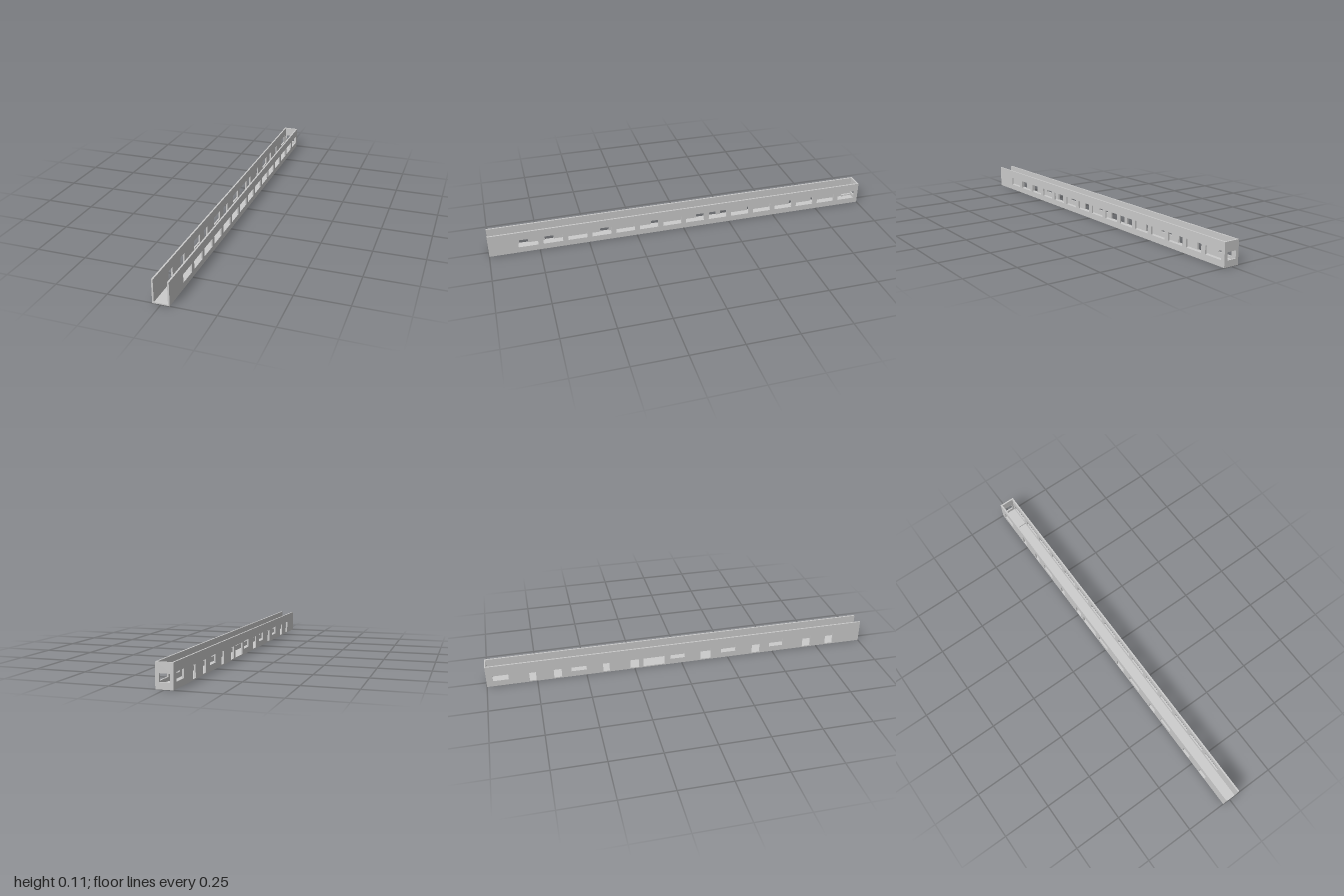
import * as THREE from 'three';

const W = 0.04, H = 0.114, T = 0.008, FLOOR = 0.006;
const SILL = 0.03, HEAD = 0.071, DOOR_HEAD = 0.067;

const material = new THREE.MeshStandardMaterial({ color: 0xcccccc, flatShading: true });

function mesh(name, geometry) {
  const m = new THREE.Mesh(geometry, material);
  m.name = name;
  return m;
}

function box(name, x0, x1, y0, y1, z0, z1) {
  const g = new THREE.BoxGeometry(x1 - x0, y1 - y0, z1 - z0);
  g.translate((x0 + x1) / 2, (y0 + y1) / 2, (z0 + z1) / 2);
  return mesh(name, g);
}

function rect(path, u0, u1, v0, v1) {
  path.moveTo(u0, v0);
  path.lineTo(u1, v0);
  path.lineTo(u1, v1);
  path.lineTo(u0, v1);
  path.closePath();
  return path;
}

// Upright panel pierced by rectangular openings [u0, u1, v0, v1]
function panel(u0, u1, v0, v1, openings) {
  const shape = rect(new THREE.Shape(), u0, u1, v0, v1);
  for (const o of openings) shape.holes.push(rect(new THREE.Path(), ...o));
  return new THREE.ExtrudeGeometry(shape, { depth: T, bevelEnabled: false });
}

// Panel turned to run along z, with its outer face at the given side
function sideWall(name, side, openings) {
  const g = panel(-1, 1, 0, H, openings);
  g.rotateY(-Math.PI / 2);
  g.translate(side > 0 ? W : -W + T, 0, 0);
  return mesh(name, g);
}

export function createModel() {
  const group = new THREE.Group();
  group.name = 'corridor';

  group.add(box('floor', -W + T, W - T, 0, FLOOR, -1, 1));

  // Evenly spaced row of windows
  const windows = [];
  for (let i = 0; i < 15; i++) {
    const z = 0.804 - i * 0.1239;
    windows.push([z - 0.049, z + 0.049, SILL, HEAD]);
  }
  group.add(sideWall('windowWall', 1, windows));

  // Opposite wall with mixed doors and windows
  const doorSpans = [
    [-0.788, -0.754], [-0.665, -0.625], [-0.414, -0.38], [-0.272, -0.226], [-0.203, -0.09],
    [0.102, 0.159], [0.385, 0.43], [0.671, 0.717], [0.802, 0.847],
  ];
  const windowSpans = [
    [-0.968, -0.89], [-0.576, -0.498], [-0.06, 0.018], [0.214, 0.295], [0.482, 0.558],
  ];
  group.add(sideWall('doorWall', -1, [
    ...doorSpans.map(([a, b]) => [a, b, FLOOR, DOOR_HEAD]),
    ...windowSpans.map(([a, b]) => [a, b, SILL, HEAD]),
  ]));

  // Closed rear end with one window
  const end = panel(-W + T, W - T, FLOOR, H, [[-0.025, 0.023, SILL, 0.067]]);
  end.translate(0, 0, -1);
  group.add(mesh('endWall', end));

  // Low steps on the floor at the closed end
  const back = -1 + T;
  group.add(box('lowerStep', -0.011, W - T, FLOOR, 0.0125, back, -0.88));
  group.add(box('middleStep', -0.021, -0.011, FLOOR, 0.0125, back, -0.94));
  group.add(box('upperStep', -W + T, -0.021, FLOOR, 0.018, back, -0.94));

  return group;
}
